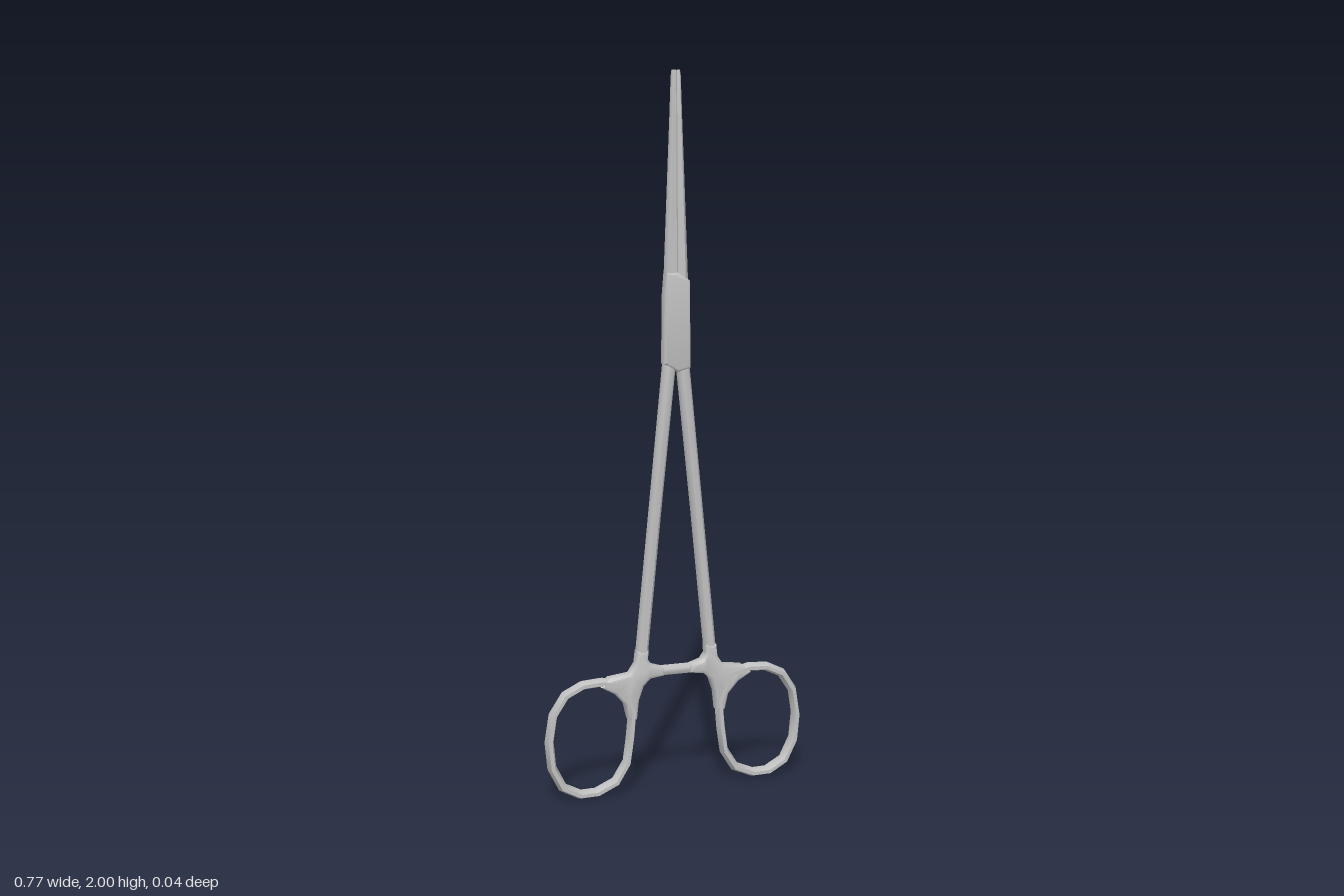
import * as THREE from 'three';
import { toCreasedNormals } from 'three/addons/utils/BufferGeometryUtils.js';

const steel = new THREE.MeshStandardMaterial({ color: 0xc2c2c2 });
steel.name = 'steel';

// Cross-sections as [across, depth] factors
const HEX = [[1, 0], [0.4, 1], [-0.4, 1], [-1, 0], [-0.4, -1], [0.4, -1]];
const OCT = [[1, -0.4], [1, 0.4], [0.5, 1], [-0.5, 1], [-1, 0.4], [-1, -0.4], [-0.5, -1], [0.5, -1]];
const JAW = [[1, -0.4], [1, 0.4], [0.35, 1], [-1, 0.85], [-1, -0.85], [0.35, -1]];

function addMesh(group, name, geometry, crease = 0.9) {
  const mesh = new THREE.Mesh(toCreasedNormals(geometry, crease), steel);
  mesh.name = name;
  group.add(mesh);
  return mesh;
}

// Sweeps a section along flat stations [x, y, halfWidth, halfDepth]
function sweep(stations, section, closed = false) {
  const n = stations.length, m = section.length, pos = [], idx = [];
  stations.forEach(([x, y, w, d], i) => {
    const a = stations[closed ? (i + n - 1) % n : Math.max(i - 1, 0)];
    const b = stations[closed ? (i + 1) % n : Math.min(i + 1, n - 1)];
    const t = new THREE.Vector2(b[0] - a[0], b[1] - a[1]).normalize();
    for (const [u, v] of section) pos.push(x + t.y * u * w, y - t.x * u * w, v * d);
  });
  for (let i = 0; i < (closed ? n : n - 1); i++) {
    for (let j = 0; j < m; j++) {
      const k = (j + 1) % m, r = i * m, s = ((i + 1) % n) * m;
      idx.push(r + j, s + j, r + k, s + j, s + k, r + k);
    }
  }
  if (!closed) {
    const e = (n - 1) * m;
    for (let j = 1; j < m - 1; j++) idx.push(0, j, j + 1, e, e + j + 1, e + j);
  }
  const g = new THREE.BufferGeometry();
  g.setAttribute('position', new THREE.Float32BufferAttribute(pos, 3));
  g.setIndex(idx);
  return g;
}

// Bevelled plate centred on z = 0
function plate(points, halfDepth, bevel) {
  const shape = new THREE.Shape(points.map(([x, y]) => new THREE.Vector2(x, y)));
  const depth = 2 * (halfDepth - bevel);
  const g = new THREE.ExtrudeGeometry(shape, {
    depth, bevelEnabled: true, bevelThickness: bevel, bevelSize: bevel, bevelOffset: -bevel, bevelSegments: 2,
  });
  return g.translate(0, 0, -depth / 2);
}

const RING = [
  [0.13, 0.24], [0.137, 0.16], [0.147, 0.09], [0.18, 0.037], [0.235, 0.013], [0.285, 0.013], [0.335, 0.04],
  [0.365, 0.10], [0.372, 0.175], [0.36, 0.25], [0.325, 0.303], [0.275, 0.327], [0.22, 0.33], [0.16, 0.318],
];
const WEB = [
  [0.118, 0.41], [0.122, 0.375], [0.14, 0.348], [0.2, 0.341], [0.225, 0.318], [0.185, 0.295], [0.155, 0.262],
  [0.144, 0.215], [0.12, 0.215], [0.114, 0.27], [0.1, 0.31], [0.08, 0.329], [0.04, 0.334], [0.04, 0.357],
  [0.075, 0.368], [0.087, 0.385], [0.085, 0.41],
];

export function createModel() {
  const model = new THREE.Group();
  model.name = 'lockingForceps';

  for (const side of [1, -1]) {
    const half = new THREE.Group();
    half.name = side > 0 ? 'leftHalf' : 'rightHalf';
    model.add(half);
    // Mirrored paths are reversed so that the section keeps facing outward
    const mirror = (pts) => (side > 0 ? pts : pts.map(([x, ...r]) => [-x, ...r]).reverse());

    addMesh(half, 'fingerRing', sweep(mirror(RING.map(([x, y]) => [x, y, 0.013, 0.02])), HEX, true), 1.1);
    addMesh(half, 'ringWeb', plate(mirror(WEB), 0.0195, 0.007), 1.1);
    addMesh(half, 'shank', sweep(mirror([
      [0.106, 0.35, 0.017, 0.018], [0.1, 0.42, 0.0165, 0.018], [0.062, 0.8, 0.0165, 0.018],
      [0.022, 1.19, 0.0175, 0.018], [0.017, 1.25, 0.017, 0.016],
    ]), OCT));
    addMesh(half, 'jaw', sweep(mirror([
      [0.0175, 1.40, 0.016, 0.017], [0.017, 1.46, 0.0155, 0.017], [0.0135, 1.65, 0.012, 0.014],
      [0.009, 1.88, 0.0078, 0.0105], [0.0073, 1.985, 0.006, 0.008], [0.0065, 2.0, 0.005, 0.006],
    ]), JAW));
    // Ratchet arms overlap one behind the other
    const ratchet = addMesh(half, 'ratchetArm', sweep(mirror([
      [0.09, 0.346, 0.013, 0.007], [-0.04, 0.346, 0.012, 0.007],
    ]), OCT));
    ratchet.position.z = side * 0.006;
  }

  // Box joint with slanted shoulders where the halves cross
  addMesh(model, 'boxJoint', plate([
    [0, 1.19], [0.039, 1.2], [0.036, 1.44], [0, 1.462], [-0.031, 1.46], [-0.036, 1.4], [-0.038, 1.213],
  ], 0.0205, 0.007));

  return model;
}
